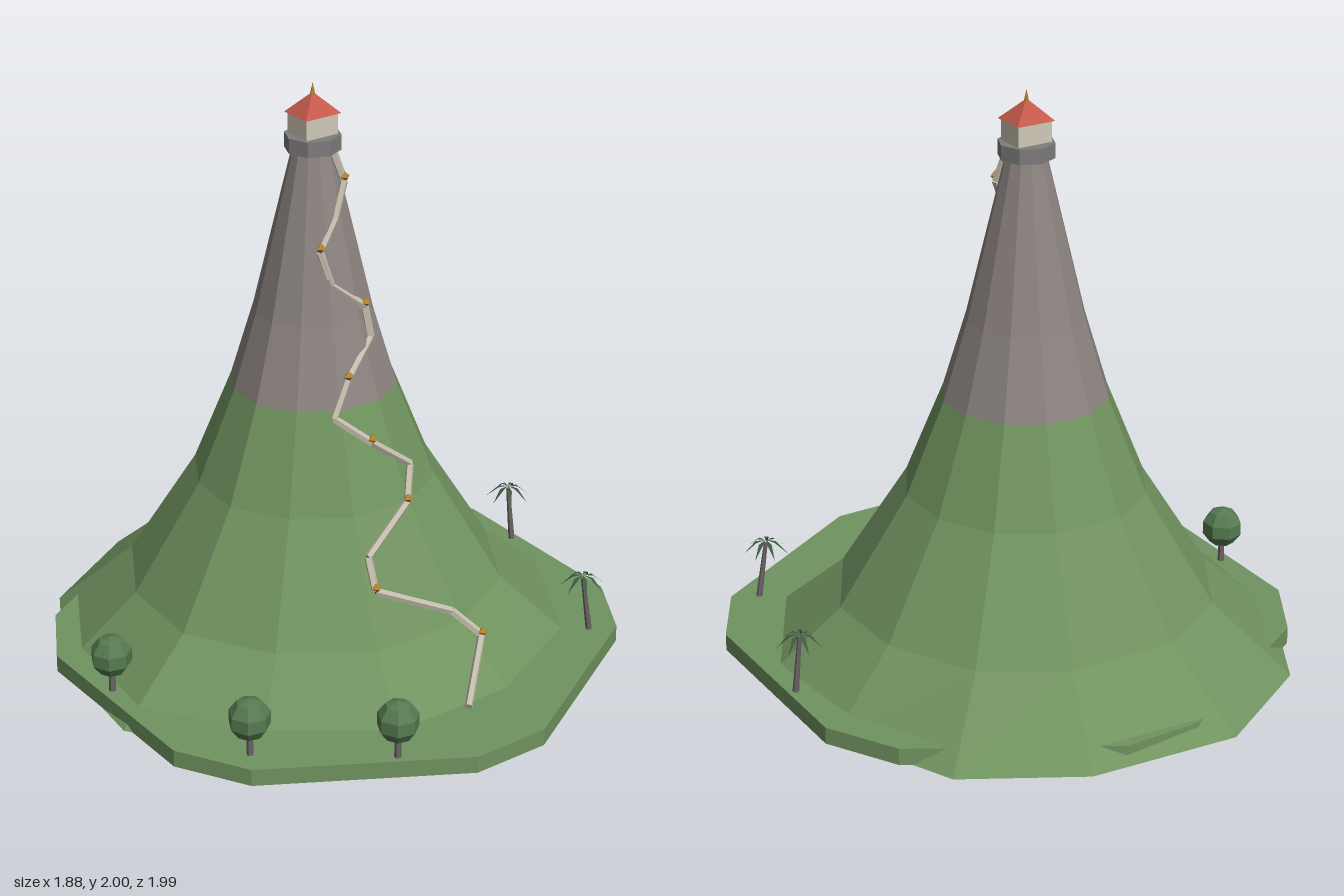
import * as THREE from 'three';

const mat = (name, color) => Object.assign(new THREE.MeshStandardMaterial({ color, flatShading: true }), { name });
const M = {
  grass: mat('grass', 0x70935f),
  rock: mat('rock', 0x8c8480),
  stone: mat('stone', 0x7e7c7c),
  wall: mat('wall', 0xcfc9b8),
  path: mat('path', 0xc2bbab),
  roof: mat('roof', 0xc4594a),
  gold: mat('gold', 0xb8822c),
  bark: mat('bark', 0x6c6265),
  leaf: mat('leaf', 0x557a50),
  palm: mat('palm', 0x3f5a42),
};
M.palm.side = THREE.DoubleSide;

const CZ = -0.1; // z of the mountain's axis
const V = (x, y, z) => new THREE.Vector3(x, y, z);

function add(parent, name, geo, material, x = 0, y = 0, z = 0) {
  const m = new THREE.Mesh(geo, material);
  m.name = name;
  m.position.set(x, y, z);
  parent.add(m);
  return m;
}

// Straight rod between two points
function rod(parent, name, a, b, r0, r1, sides, material) {
  const d = b.clone().sub(a);
  const m = add(parent, name, new THREE.CylinderGeometry(r1, r0, d.length(), sides), material);
  m.position.copy(a).add(b).multiplyScalar(0.5);
  m.quaternion.setFromUnitVectors(V(0, 1, 0), d.normalize());
  return m;
}

// Hexagonal ground slab with cut corners
function makeBase(root) {
  const pts = [];
  for (let i = 0; i < 6; i++) {
    const a = Math.PI / 6 + i * Math.PI / 3;
    for (const s of [-1, 1]) {
      const t = a + s * 0.142;
      pts.push(new THREE.Vector2(0.978 * Math.cos(t), 0.978 * Math.sin(t)));
    }
  }
  const geo = new THREE.ExtrudeGeometry(new THREE.Shape(pts), { depth: 0.06, bevelEnabled: false });
  geo.rotateX(-Math.PI / 2);
  add(root, 'groundSlab', geo, M.grass, 0, 0, 0.025);
}

// Mountain: irregular 12-sided rings [height, radius], loose at the foot, regular at the top
const RINGS = [[0, 0.92], [0.24, 0.65], [0.62, 0.415], [0.95, 0.283], [1.22, 0.202], [1.79, 0.066]];
const ANGLES = [14, 44, 72, 105.5, 134, 164, 193, 223, 253, 284, 314, 346];
const FOOT = [0.89, 0.926, 0.904, 0.934, 0.926, 0.91, 0.95, 0.89, 0.925, 0.91, 0.94, 0.935];

function ringPoint(i, k) {
  const [y, r] = RINGS[i];
  const n = k % 12;
  const a = THREE.MathUtils.degToRad(ANGLES[n]);
  const rr = r * (1 + (FOOT[n] / 0.92 - 1) * (i === 0 ? 1 : 0.4));
  return V(rr * Math.cos(a), y, CZ - rr * Math.sin(a));
}

function mountainGeo(from, to, bottom) {
  const pts = [];
  for (let k = 0; k < 12; k++) {
    for (let i = from; i < to; i++) {
      const a = ringPoint(i, k), b = ringPoint(i, k + 1);
      const c = ringPoint(i + 1, k + 1), d = ringPoint(i + 1, k);
      pts.push(a, b, c, a, c, d);
    }
    if (bottom) pts.push(V(0, 0, CZ), ringPoint(0, k + 1), ringPoint(0, k));
  }
  const g = new THREE.BufferGeometry().setFromPoints(pts);
  g.computeVertexNormals();
  return g;
}

// Lookout house on the summit
function makeLookout(root) {
  const g = new THREE.Group();
  g.name = 'lookout';
  g.position.z = CZ;
  root.add(g);
  add(g, 'platform', new THREE.CylinderGeometry(0.095, 0.095, 0.052, 8), M.stone, 0, 1.8, 0);
  add(g, 'house', new THREE.BoxGeometry(0.126, 0.076, 0.106), M.wall, 0, 1.862, 0);
  const roof = new THREE.CylinderGeometry(0.012, 0.1, 0.062, 4);
  roof.rotateY(Math.PI / 4);
  add(g, 'roof', roof, M.roof, 0, 1.928, 0).scale.z = 0.86;
  add(g, 'spire', new THREE.ConeGeometry(0.011, 0.05, 5), M.gold, 0, 1.975, 0);
}

// Zigzag stairway up the front with lanterns at the turns
function makePath(root) {
  const g = new THREE.Group();
  g.name = 'stairway';
  root.add(g);
  const P = [
    [0, 0.085, 0.77], [0.2, 0.2, 0.585], [0.12, 0.29, 0.52], [-0.13, 0.405, 0.43],
    [-0.12, 0.505, 0.375], [0.09, 0.62, 0.31], [0.15, 0.72, 0.245], [0, 0.835, 0.23],
    [-0.11, 0.93, 0.17], [-0.04, 1.045, 0.15], [0.09, 1.15, 0.1], [0.08, 1.255, 0.08],
    [-0.035, 1.35, 0.055], [-0.065, 1.465, 0.03], [0.01, 1.56, 0.01], [0.06, 1.675, -0.01],
    [0.035, 1.775, -0.035],
  ].map((p) => V(...p));
  for (let i = 0; i + 1 < P.length; i++) rod(g, 'stairFlight', P[i], P[i + 1], 0.014, 0.014, 5, M.path);
  for (let i = 1; i < P.length; i += 2) {
    const p = P[i];
    add(g, 'lanternPost', new THREE.CylinderGeometry(0.005, 0.005, 0.03, 5), M.bark, p.x, p.y + 0.005, p.z + 0.006);
    add(g, 'lantern', new THREE.OctahedronGeometry(0.018), M.gold, p.x, p.y + 0.016, p.z + 0.006);
  }
}

function makeTree(root, x, z) {
  const g = new THREE.Group();
  g.name = 'roundTree';
  g.position.set(x, 0.06, z);
  root.add(g);
  add(g, 'trunk', new THREE.CylinderGeometry(0.01, 0.012, 0.09, 6), M.bark, 0, 0.045, 0);
  add(g, 'crown', new THREE.SphereGeometry(0.073, 7, 5), M.leaf, 0, 0.135, 0);
}

// Palm with a leaning trunk and drooping narrow fronds
function makePalm(root, base, top) {
  const g = new THREE.Group();
  g.name = 'palm';
  root.add(g);
  rod(g, 'palmTrunk', base, top, 0.011, 0.007, 6, M.bark);
  const pts = [];
  for (let i = 0; i < 7; i++) {
    const a = i * Math.PI * 2 / 7 + 0.3;
    const at = (r, y, w) => V(
      top.x + r * Math.cos(a) - w * Math.sin(a), top.y + y,
      top.z + r * Math.sin(a) + w * Math.cos(a));
    const l = at(0.035, 0.006, 0.008), r = at(0.035, 0.006, -0.008);
    pts.push(at(0, 0.012, 0), l, r, l, at(0.08, -0.035, 0), r);
  }
  const geo = new THREE.BufferGeometry().setFromPoints(pts);
  geo.computeVertexNormals();
  add(g, 'fronds', geo, M.palm);
}

export function createModel() {
  const root = new THREE.Group();
  root.name = 'mountainIsland';
  makeBase(root);
  add(root, 'grassSlope', mountainGeo(0, 3, true), M.grass);
  add(root, 'rockPeak', mountainGeo(3, 5, false), M.rock);
  makeLookout(root);
  makePath(root);
  for (const [x, z] of [[-0.87, -0.04], [-0.72, 0.55], [-0.345, 0.84]]) makeTree(root, x, z);
  makePalm(root, V(0.88, 0.06, -0.08), V(0.865, 0.265, -0.09));
  makePalm(root, V(0.68, 0.06, 0.585), V(0.652, 0.265, 0.575));
  return root;
}
